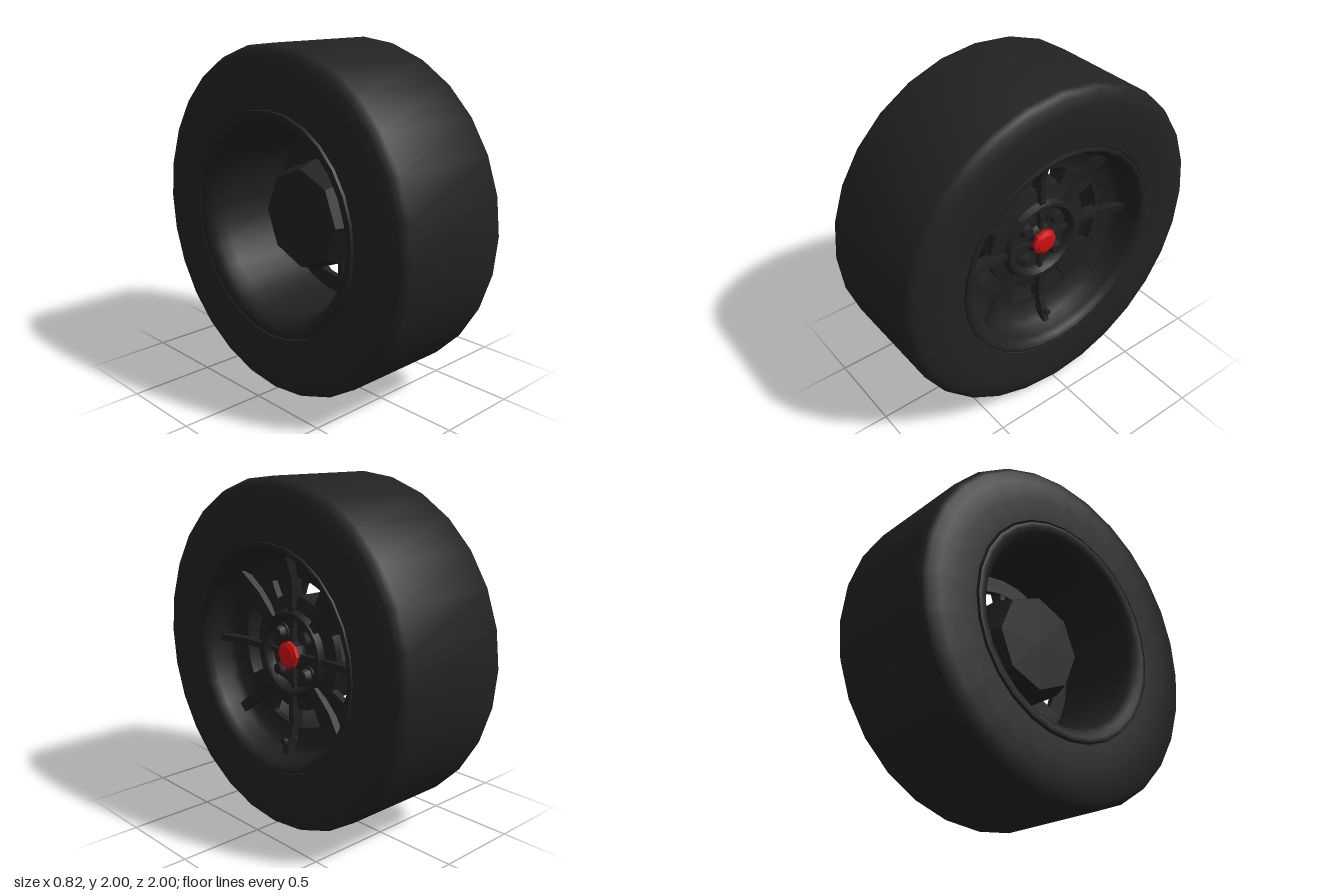
import * as THREE from 'three';
import { toCreasedNormals } from 'three/addons/utils/BufferGeometryUtils.js';

const SEGMENTS = 28;

const rubber = new THREE.MeshStandardMaterial({ color: 0x222222 });
rubber.name = 'black rubber';
const metal = new THREE.MeshStandardMaterial({ color: 0x202020 });
metal.name = 'dark painted metal';
const red = new THREE.MeshStandardMaterial({ color: 0xd01010 });
red.name = 'red cap';

// Lathe around the x axle; points are [radius, x]
function turned(points, segments = SEGMENTS, crease = 0.7) {
  const g = new THREE.LatheGeometry(points.map(([r, x]) => new THREE.Vector2(r, x)), segments, Math.PI / 2);
  g.rotateZ(-Math.PI / 2);
  return toCreasedNormals(g, crease);
}

export function createModel() {
  const wheel = new THREE.Group();
  wheel.name = 'wheel';
  wheel.position.y = 1;

  function add(name, geometry, material, parent = wheel) {
    const mesh = new THREE.Mesh(geometry, material);
    mesh.name = name;
    parent.add(mesh);
    return mesh;
  }

  // Slick tyre with rounded shoulders
  add('tyre', turned([
    [0.64, -0.37], [0.66, -0.395], [0.8, -0.408], [0.9, -0.402], [0.96, -0.39], [0.987, -0.37], [1, -0.34],
    [1, 0.34], [0.987, 0.37], [0.96, 0.39], [0.9, 0.402], [0.8, 0.408], [0.66, 0.395], [0.64, 0.37],
  ]), rubber);

  // Front lip and bowl, running in to the wheel face
  add('frontRim', turned([
    [0.655, 0.37], [0.652, 0.4], [0.64, 0.405], [0.625, 0.4], [0.61, 0.38],
    [0.595, 0.35], [0.585, 0.25], [0.55, 0.215], [0.46, 0.198],
  ], SEGMENTS, 0.9), metal);

  // Rear lip and deep open barrel
  add('rearBarrel', turned([
    [0.54, 0.17], [0.545, -0.28], [0.56, -0.35], [0.59, -0.385],
    [0.62, -0.405], [0.645, -0.4], [0.655, -0.37],
  ].reverse().map((p) => p).reverse(), SEGMENTS, 0.9), metal);

  // Wheel face with four curved windows
  const face = new THREE.Shape().absarc(0, 0, 0.575, 0, Math.PI * 2);
  const half = THREE.MathUtils.degToRad(27.5);
  for (let i = 0; i < 4; i++) {
    const a = i * Math.PI / 2;
    const hole = new THREE.Path();
    hole.absarc(0, 0, 0.44, a - half, a + half, false);
    hole.absarc(0, 0, 0.335, a + half, a - half, true);
    hole.closePath();
    face.holes.push(hole);
  }
  const faceGeometry = new THREE.ExtrudeGeometry(face, { depth: 0.04, bevelEnabled: false, curveSegments: 14 });
  faceGeometry.rotateY(Math.PI / 2).translate(0.155, 0, 0);
  add('wheelFace', faceGeometry, metal);

  // Ribs: side outline in (x, radius), extruded to the rib width
  function rib(points, width) {
    const shape = new THREE.Shape(points.map(([x, r]) => new THREE.Vector2(x, r)));
    const g = new THREE.ExtrudeGeometry(shape, { depth: width, bevelEnabled: false });
    return g.translate(0, 0, -width / 2);
  }
  const mainRib = rib([[0.16, 0.23], [0.235, 0.23], [0.235, 0.42], [0.29, 0.59], [0.16, 0.59]], 0.036);
  const diagonalRib = rib([[0.16, 0.23], [0.235, 0.23], [0.235, 0.42], [0.27, 0.585], [0.16, 0.585]], 0.06);
  const hubRib = rib([[0.18, 0.05], [0.235, 0.05], [0.22, 0.21], [0.18, 0.21]], 0.024);
  const nut = new THREE.CylinderGeometry(0.034, 0.048, 0.05, 6).rotateZ(-Math.PI / 2);
  const nutSeat = turned([[0.056, 0], [0.056, 0.012], [0.04, 0.012]], 12);
  for (let i = 0; i < 4; i++) {
    const straight = new THREE.Group();
    straight.name = 'straightSpoke';
    straight.rotation.x = i * Math.PI / 2;
    add('mainRib', mainRib, metal, straight);
    add('hubRib', hubRib, metal, straight);
    const diagonal = new THREE.Group();
    diagonal.name = 'diagonalSpoke';
    diagonal.rotation.x = (i + 0.5) * Math.PI / 2;
    add('diagonalRib', diagonalRib, metal, diagonal);
    add('wheelNut', nut, metal, diagonal).position.set(0.22, 0.152, 0);
    add('nutSeat', nutSeat, metal, diagonal).position.set(0.195, 0.152, 0);
    wheel.add(straight, diagonal);
  }

  // Raised hub ring around the nuts
  add('hubRing', turned([
    [0.335, 0.195], [0.26, 0.21], [0.245, 0.245], [0.225, 0.248], [0.21, 0.235], [0.2, 0.195],
  ], 24), metal);

  // Faceted drum closing the hub at the rear
  add('rearHub', turned([[0, -0.165], [0.29, -0.165], [0.33, -0.06], [0.33, 0.16]], 8, 0.5), metal);

  // Centre boss and domed red cap
  add('centreBoss', turned([[0.1, 0.19], [0.082, 0.21], [0.075, 0.25]], 8), metal);
  add('centreCap', turned([[0.076, 0.235], [0.08, 0.245], [0.078, 0.26], [0.055, 0.275], [0, 0.28]], 8, 0.5), red);

  // Tyre valve low on the face
  const valve = turned([[0.026, 0.19], [0.024, 0.225], [0.014, 0.235], [0.014, 0.27],
    [0.02, 0.272], [0.02, 0.3], [0, 0.303]], 10);
  add('valve', valve, metal).position.y = -0.515;

  const model = new THREE.Group();
  model.name = 'racingWheel';
  model.add(wheel);
  // Open turned shells show from both sides
  for (const m of [rubber, metal]) m.side = THREE.DoubleSide;
  return model;
}
